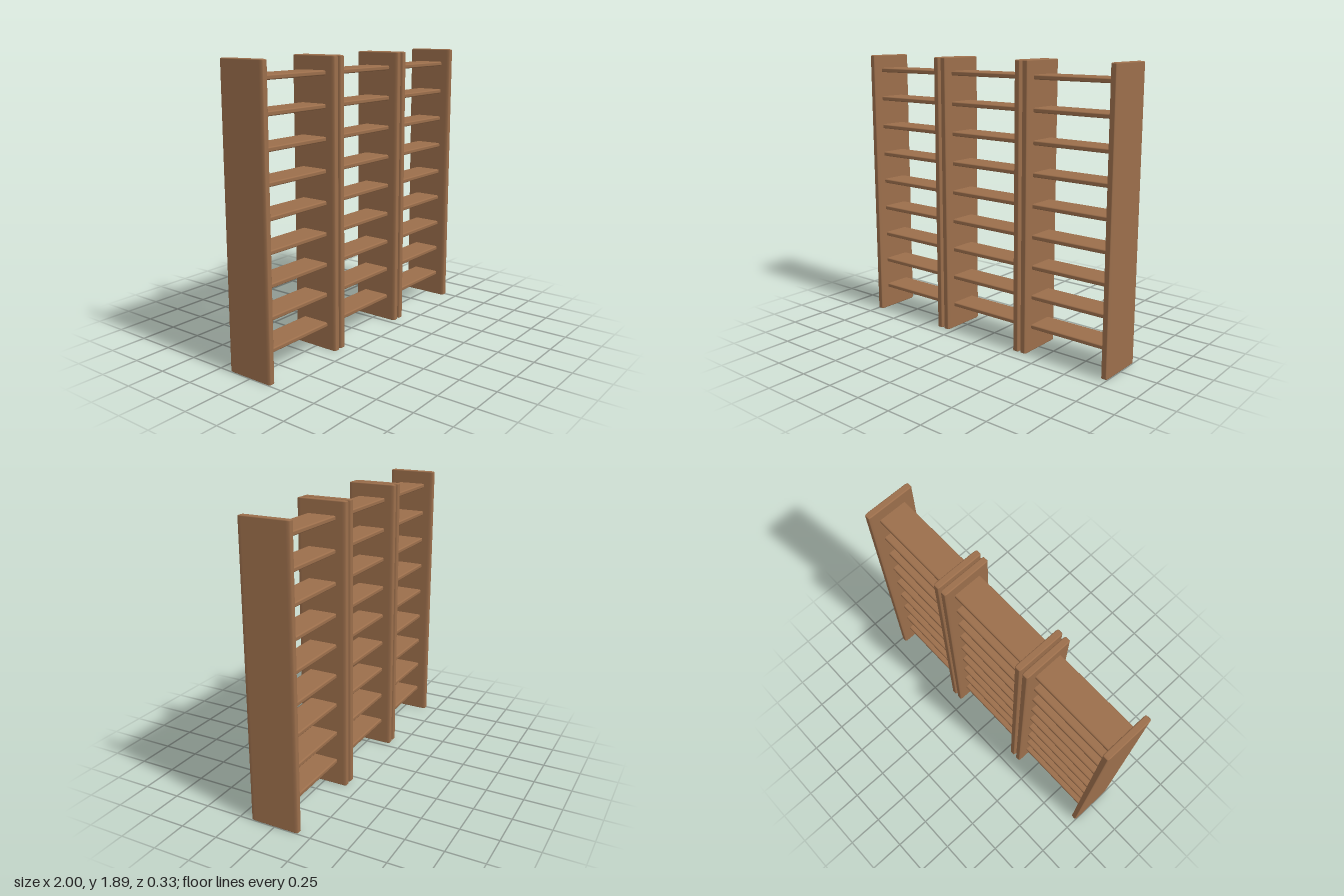
import * as THREE from 'three';
import { RoundedBoxGeometry } from 'three/addons/geometries/RoundedBoxGeometry.js';

const HEIGHT = 1.89;
const BAY_X = [-0.672, 0, 0.672];
const BAY_WIDTH = 0.656;
const POST = 0.043;
const RUNGS = 9;

// Plank with a separate edge rounding along each axis
function plank(w, h, d, bx, by, bz) {
  return new RoundedBoxGeometry(w / bx, h / by, d / bz, 2, 1).scale(bx, by, bz);
}

export function createModel() {
  const model = new THREE.Group();
  model.name = 'slattedRack';
  const wood = new THREE.MeshStandardMaterial({ color: 0x9b6e4b });
  wood.name = 'brown wood';

  const postGeometry = plank(POST, HEIGHT, 0.33, 0.008, 0.007, 0.025);
  const slatGeometry = plank(BAY_WIDTH - POST, 0.03, 0.196, 0.008, 0.008, 0.012);

  const add = (parent, geometry, name, x, y) => {
    const mesh = new THREE.Mesh(geometry, wood);
    mesh.name = name;
    mesh.position.set(x, y, 0);
    parent.add(mesh);
  };

  // Three identical bays side by side, each with two uprights and nine slats
  BAY_X.forEach((x, i) => {
    const bay = new THREE.Group();
    bay.name = ['rightBay', 'middleBay', 'leftBay'][i];
    bay.position.x = x;
    const side = (BAY_WIDTH - POST) / 2;
    add(bay, postGeometry, 'rightUpright', -side, HEIGHT / 2);
    add(bay, postGeometry, 'leftUpright', side, HEIGHT / 2);
    for (let r = 0; r < RUNGS; r++) {
      add(bay, slatGeometry, 'slat' + (r + 1), 0, 0.171 + r * 0.2017);
    }
    model.add(bay);
  });
  return model;
}
